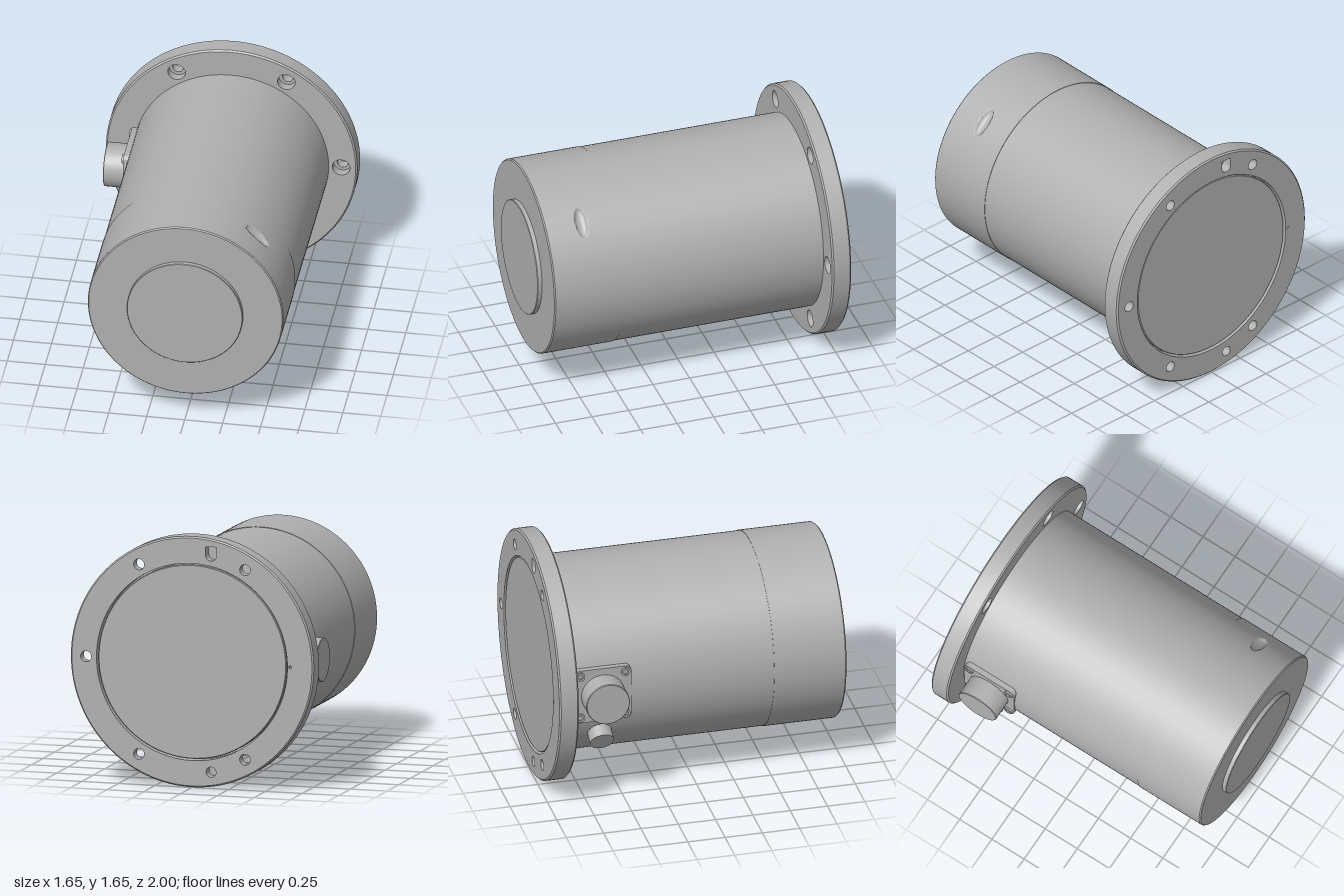
import * as THREE from 'three';
import { toCreasedNormals } from 'three/addons/utils/BufferGeometryUtils.js';

const R = 0.827; // flange radius, also the height of the axis
const rad = THREE.MathUtils.degToRad;

export function createModel() {
  const grey = new THREE.MeshStandardMaterial({ color: 0xb0b0b0 });
  grey.name = 'metal grey';
  const model = new THREE.Group();
  model.name = 'flangedHousing';
  model.position.y = R;

  const add = (name, geometry, parent = model) => {
    const mesh = new THREE.Mesh(geometry, grey);
    mesh.name = name;
    parent.add(mesh);
    return mesh;
  };
  // Turned part along z from [radius, z] pairs
  const turned = (points, segments = 128) => toCreasedNormals(
    new THREE.LatheGeometry(points.map(([r, z]) => new THREE.Vector2(r, z)), segments).rotateX(Math.PI / 2), 0.5);
  const circle = (x, y, r) => new THREE.Path().absarc(x, y, r, 0, Math.PI * 2, true);
  const plate = (shape, holes, z, depth, curveSegments) => {
    shape.holes.push(...holes);
    const g = new THREE.ExtrudeGeometry(shape, { depth, bevelEnabled: false, curveSegments });
    return toCreasedNormals(g.translate(0, 0, z), 0.5);
  };
  const disc = (r) => new THREE.Shape().absarc(0, 0, r, 0, Math.PI * 2, false);

  // Main barrel with closed back
  add('barrel', turned([[0, -0.992], [0.635, -0.992], [0.64, -0.985], [0.64, 0.487]]));

  // Front cap: end face with chamfer and raised boss
  add('capEnd', turned([[0.643, 0.962], [0.636, 0.97], [0.38, 0.97], [0.38, 0.997], [0.377, 1], [0, 1]]));
  add('capStep', turned([[0.638, 0.485], [0.643, 0.485]]));

  // Cap wall, with a dense sector that carries the oval recess
  const z0 = 0.485, z1 = 0.962, mid = rad(137), half = rad(12);
  const wall = (start, length, nx, ny) => new THREE.CylinderGeometry(
    0.643, 0.643, z1 - z0, nx, ny, true, start, length);
  add('capWall', wall(mid + half, Math.PI * 2 - 2 * half, 120, 1)
    .rotateX(Math.PI / 2).translate(0, 0, (z0 + z1) / 2));
  const sector = wall(mid - half, 2 * half, 48, 80);
  const p = sector.attributes.position;
  for (let i = 0; i < p.count; i++) {
    const arc = (Math.atan2(p.getX(i), p.getZ(i)) - mid) * 0.643;
    const dz = p.getY(i) + (z0 + z1) / 2 - 0.72;
    const q = (arc / 0.1) ** 2 + (dz / 0.04) ** 2;
    if (q < 1) {
      const s = 1 - 0.045 * Math.sqrt(1 - q);
      p.setX(i, p.getX(i) * s);
      p.setZ(i, p.getZ(i) * s);
    }
  }
  sector.computeVertexNormals();
  add('capRecess', sector.rotateX(Math.PI / 2).translate(0, 0, (z0 + z1) / 2));

  // Flange: front layer holds counterbores, back layer the narrower holes
  const bolts = [-120, -60, 0, 60, 120].map((a) => [0.722 * Math.cos(rad(a)), 0.722 * Math.sin(rad(a))]);
  add('flangeFront', plate(disc(0.817),
    [circle(0, 0, 0.639), ...bolts.map(([x, y]) => circle(x, y, 0.058))], -0.93, 0.06, 64));
  const slot = new THREE.Path();
  slot.moveTo(-0.168, 0.765);
  slot.lineTo(-0.092, 0.765);
  slot.lineTo(-0.092, 0.71);
  slot.absarc(-0.13, 0.71, 0.038, 0, -Math.PI, true);
  slot.closePath();
  add('flangeBack', plate(disc(0.817), [
    circle(0, 0, 0.65), ...bolts.map(([x, y]) => circle(x, y, 0.036)),
    circle(-0.13, -0.72, 0.034), circle(-0.669, 0, 0.01), slot,
  ], -1, 0.07, 64));
  add('flangeRim', turned([[0.817, -1], [R, -0.99], [R, -0.88], [0.817, -0.87]]));

  // Side connector on a square mounting plate, facing -x
  const connector = new THREE.Group();
  connector.name = 'sideConnector';
  connector.position.z = -0.665;
  connector.rotation.y = -Math.PI / 2;
  model.add(connector);
  const h = 0.192, c = 0.04;
  const square = new THREE.Shape();
  square.absarc(h - c, h - c, c, 0, Math.PI / 2);
  square.absarc(c - h, h - c, c, Math.PI / 2, Math.PI);
  square.absarc(c - h, c - h, c, Math.PI, Math.PI * 1.5);
  square.absarc(h - c, c - h, c, Math.PI * 1.5, Math.PI * 2);
  add('mountingPlate', plate(square, [], 0.6, 0.047, 10), connector);
  add('connectorBarrel', turned([[0.145, 0.6], [0.145, 0.785], [0.141, 0.789], [0, 0.789]], 64), connector);
  for (const sx of [-1, 1]) {
    for (const sy of [-1, 1]) {
      add('plateScrew', turned([[0.03, 0.6], [0.03, 0.66], [0.017, 0.66], [0.017, 0.648], [0, 0.648]], 24), connector)
        .position.set(sx * 0.152, sy * 0.152, 0);
    }
  }

  // Small radial fitting below the connector
  const fitting = add('radialFitting', new THREE.CylinderGeometry(0.08, 0.08, 0.14, 48));
  fitting.position.set(0.649 * Math.cos(rad(210)), 0.649 * Math.sin(rad(210)), -0.665);
  fitting.rotation.z = rad(120);

  const root = new THREE.Group();
  root.name = 'model';
  root.add(model);
  return root;
}
